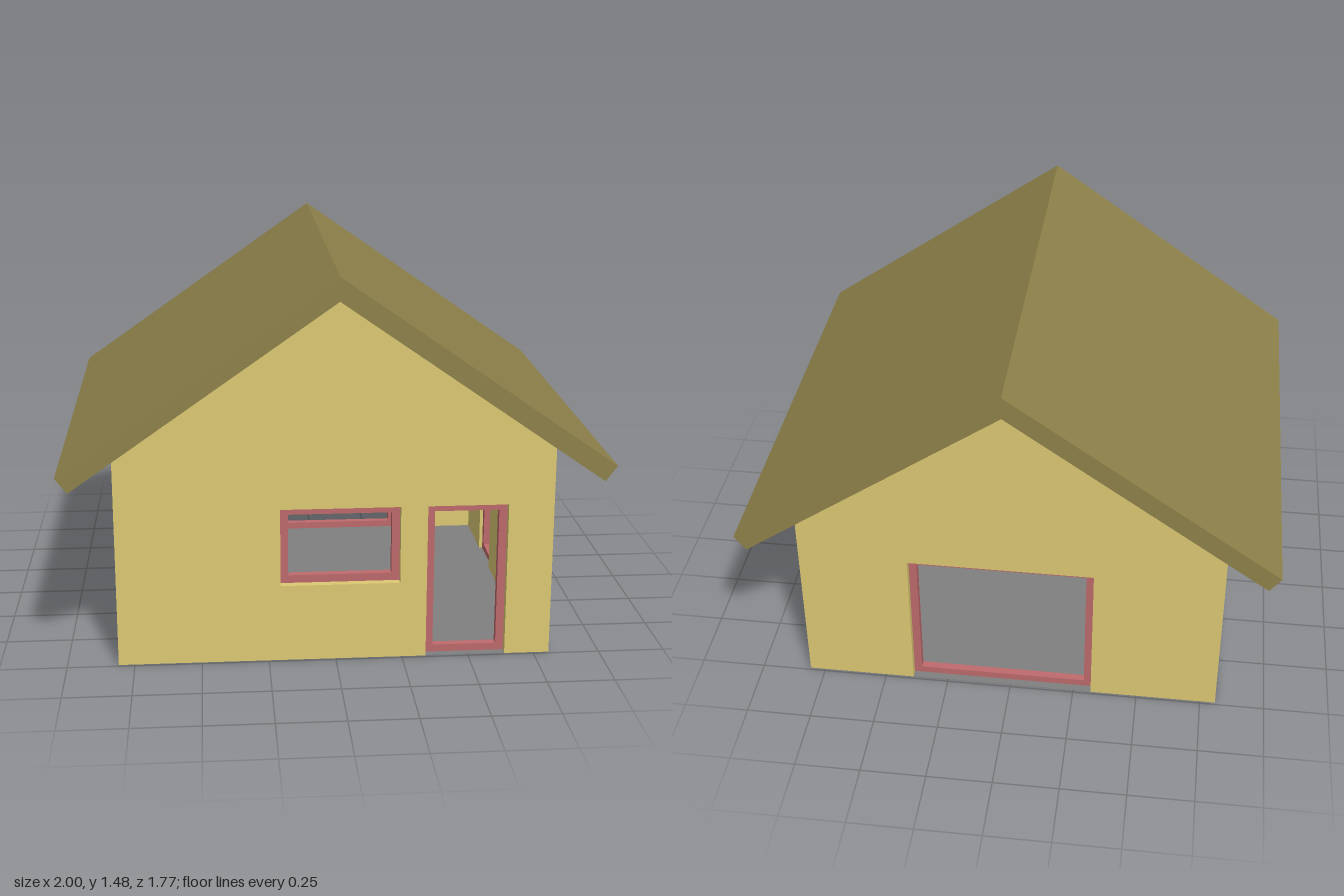
import * as THREE from 'three';

const WALL_X = 0.81, WALL_Z = 0.74, T = 0.074; // half width, half depth, wall thickness
const APEX = 1.395, SLOPE = 0.7, CEILING = 0.7;
const roofUnder = (x) => APEX - SLOPE * Math.abs(x);

const mat = (color) => new THREE.MeshStandardMaterial({ color, flatShading: true });
const wallMat = mat(0xdcc973), roofMat = mat(0x8e824a), frameMat = mat(0xbe6a6c), floorMat = mat(0x808080);

function polygon(points) {
  return new THREE.Shape(points.map(([x, y]) => new THREE.Vector2(x, y)));
}

function extrude(name, shape, depth, material, z) {
  const geometry = new THREE.ExtrudeGeometry(shape, { depth, bevelEnabled: false });
  const mesh = new THREE.Mesh(geometry, material);
  mesh.name = name;
  mesh.position.z = z;
  return mesh;
}

function rectPath(x0, x1, y0, y1) {
  const corners = [[x0, y0], [x0, y1], [x1, y1], [x1, y0]];
  return new THREE.Path(corners.map(([x, y]) => new THREE.Vector2(x, y)));
}

// Frame set back inside the thickness of the wall
function openingFrame(name, [x0, x1, y0, y1]) {
  const w = 0.03, depth = 0.03;
  const shape = polygon([[x0, y0], [x1, y0], [x1, y1], [x0, y1]]);
  shape.holes.push(rectPath(x0 + w, x1 - w, y0 + w, y1 - w));
  return extrude(name, shape, depth, frameMat, -0.03 - depth);
}

// Wall facing local +z with its outer face at z = 0; openings at ground level notch the outline
function wall(name, half, top, doors, windows = []) {
  const group = new THREE.Group();
  group.name = name;
  const outline = [[-half, 0]];
  for (const [x0, x1, , y1] of doors) outline.push([x0, 0], [x0, y1], [x1, y1], [x1, 0]);
  outline.push([half, 0], ...top);
  const shape = polygon(outline);
  for (const w of windows) shape.holes.push(rectPath(...w));
  group.add(extrude(name + 'Panel', shape, T, wallMat, -T));
  for (const d of doors) group.add(openingFrame('doorFrame', d));
  for (const w of windows) group.add(openingFrame('windowFrame', w));
  return group;
}

export function createModel() {
  const house = new THREE.Group();
  house.name = 'house';

  // Gable walls
  const eave = roofUnder(WALL_X);
  const gable = [[WALL_X, eave], [0, APEX], [-WALL_X, eave]];
  const front = wall('frontWall', WALL_X, gable, [[0.34, 0.64, 0, 0.595]], [[-0.205, 0.24, 0.297, 0.595]]);
  front.position.z = WALL_Z;
  const back = wall('backWall', WALL_X, gable, [[-0.39, 0.32, 0, 0.595]]);
  back.position.z = -WALL_Z;
  back.rotation.y = Math.PI;

  // Side walls between the gables
  const half = WALL_Z - T;
  const sideTop = [[half, eave], [-half, eave]];
  const left = wall('leftWall', half, sideTop, [[0.13, 0.37, 0, 0.597]]);
  left.position.x = WALL_X;
  left.rotation.y = Math.PI / 2;
  const right = wall('rightWall', half, sideTop, [[-0.37, -0.13, 0, 0.597]]);
  right.position.x = -WALL_X;
  right.rotation.y = -Math.PI / 2;
  house.add(front, back, left, right);

  // Solid attic, its underside is the ceiling
  const ax = WALL_X - T;
  const attic = polygon([[-ax, CEILING], [ax, CEILING], [ax, roofUnder(ax)], [0, APEX], [-ax, roofUnder(ax)]]);
  house.add(extrude('ceiling', attic, 2 * half, wallMat, -half));

  // Floor
  const floor = new THREE.Mesh(new THREE.PlaneGeometry(2 * WALL_X, 2 * WALL_Z), floorMat.clone());
  floor.material.side = THREE.DoubleSide;
  floor.name = 'floor';
  floor.rotation.x = -Math.PI / 2;
  floor.position.y = 0.002;
  house.add(floor);

  // Roof with square-cut eaves
  const roof = polygon([
    [0, 1.482], [-1, 0.782], [-0.957, roofUnder(0.957)], [0, APEX], [0.957, roofUnder(0.957)], [1, 0.782],
  ]);
  house.add(extrude('roof', roof, 1.77, roofMat, -0.885));

  return house;
}
